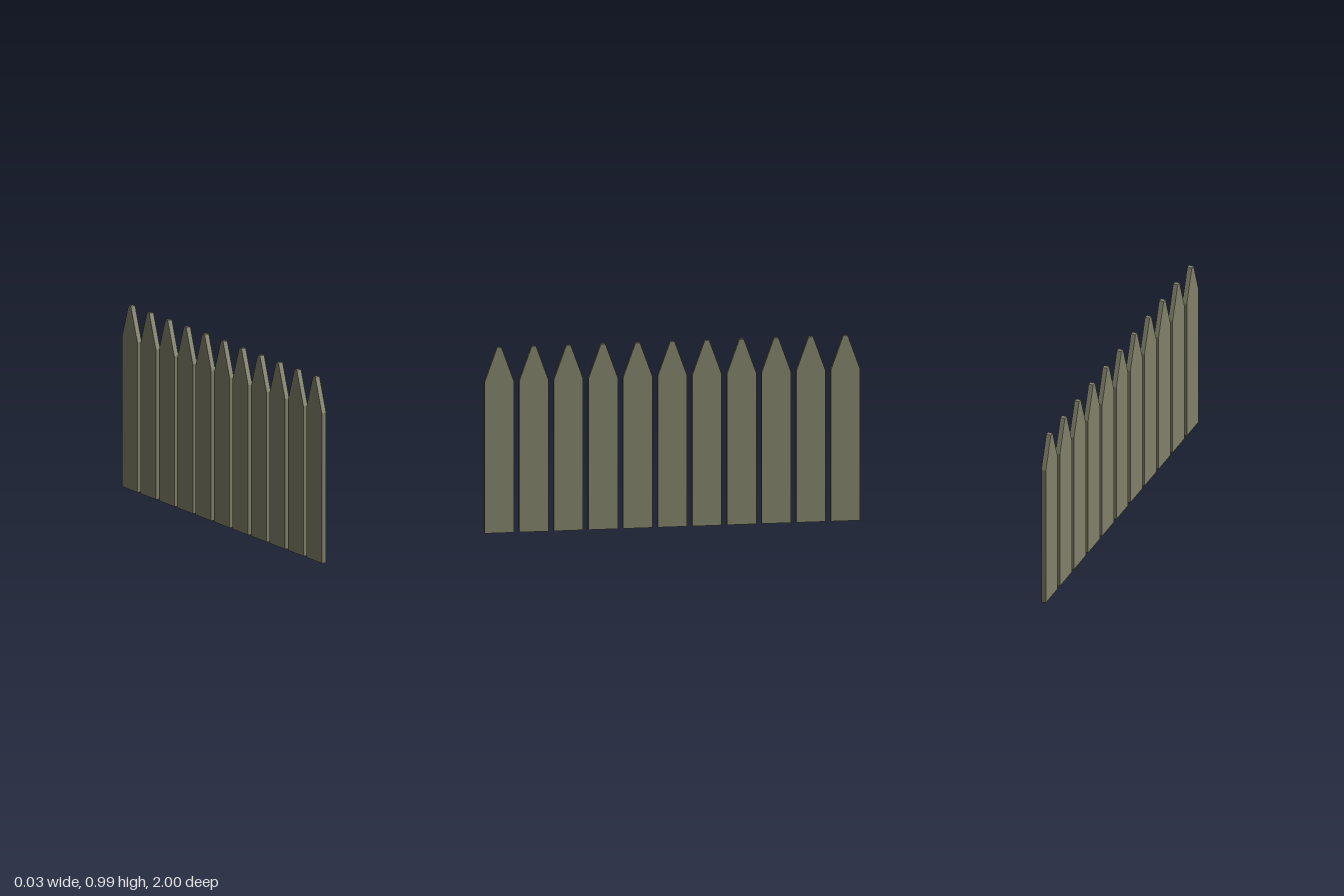
import * as THREE from 'three';

const COUNT = 11;
const WIDTH = 0.156;
const THICKNESS = 0.026;
const SHOULDER = 0.81;
const HEIGHT = 0.993;
const TIP = 0.024;
const PITCH = (2 - WIDTH) / (COUNT - 1);

// Pointed board with a narrow flat tip, extruded to its thickness
function picketGeometry() {
  const w = WIDTH / 2;
  const t = TIP / 2;
  const outline = new THREE.Shape([
    new THREE.Vector2(-w, 0),
    new THREE.Vector2(w, 0),
    new THREE.Vector2(w, SHOULDER),
    new THREE.Vector2(t, HEIGHT),
    new THREE.Vector2(-t, HEIGHT),
    new THREE.Vector2(-w, SHOULDER),
  ]);
  const geometry = new THREE.ExtrudeGeometry(outline, { depth: THICKNESS, bevelEnabled: false });
  geometry.translate(0, 0, -THICKNESS / 2);
  return geometry.rotateY(Math.PI / 2);
}

export function createModel() {
  const fence = new THREE.Group();
  fence.name = 'picketFence';
  const geometry = picketGeometry();
  const wood = new THREE.MeshStandardMaterial({ color: 0x80806a, flatShading: true });

  // Row of evenly spaced pickets along z
  for (let i = 0; i < COUNT; i++) {
    const picket = new THREE.Mesh(geometry, wood);
    picket.name = `picket${i + 1}`;
    picket.position.z = (i - (COUNT - 1) / 2) * PITCH;
    fence.add(picket);
  }
  return fence;
}
